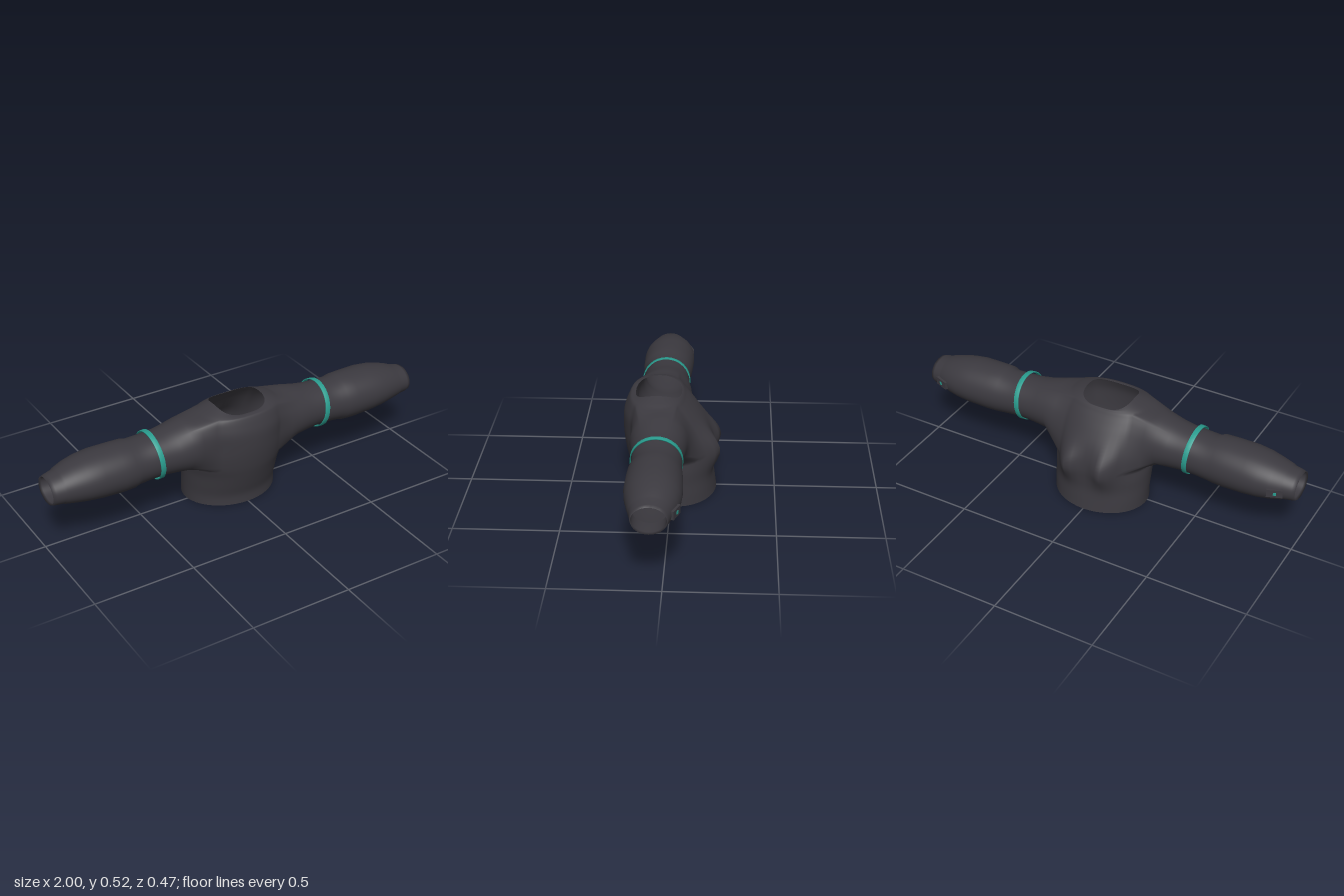
import * as THREE from 'three';

const dark = new THREE.MeshStandardMaterial({ color: 0x3b393f, side: THREE.DoubleSide });
dark.name = 'charcoal fabric';
const teal = new THREE.MeshStandardMaterial({ color: 0x2a9d8f, side: THREE.DoubleSide });
teal.name = 'teal trim';

// Torso sections: y, half width, front z, back z, z of the widest point, roundness
const TORSO = [
  [0.00, 0.240, 0.175, -0.215, -0.02, 2.0],
  [0.05, 0.241, 0.176, -0.208, -0.02, 2.0],
  [0.11, 0.243, 0.193, -0.200, -0.01, 2.0],
  [0.17, 0.246, 0.210, -0.200, 0.00, 2.0],
  [0.225, 0.250, 0.223, -0.200, 0.03, 2.0],
  [0.29, 0.255, 0.232, -0.190, 0.045, 2.0],
  [0.35, 0.255, 0.235, -0.165, 0.05, 2.0],
  [0.41, 0.250, 0.232, -0.125, 0.055, 2.1],
  [0.455, 0.240, 0.218, -0.088, 0.06, 2.2],
  [0.492, 0.215, 0.200, -0.055, 0.065, 2.4],
  [0.525, 0.125, 0.175, -0.045, 0.065, 3.0],
];
// Sleeve sections: x, bottom y, top y, back z, front z; the last ones fold inside
const SLEEVE = [
  [0.30, 0.232, 0.487, -0.082, 0.186],
  [0.36, 0.238, 0.472, -0.074, 0.175],
  [0.42, 0.243, 0.462, -0.067, 0.167],
  [0.50, 0.242, 0.457, -0.066, 0.165],
  [0.56, 0.236, 0.455, -0.068, 0.165],
  [0.59, 0.231, 0.464, -0.072, 0.176],
  [0.65, 0.229, 0.465, -0.076, 0.179],
  [0.75, 0.235, 0.464, -0.080, 0.180],
  [0.82, 0.242, 0.455, -0.076, 0.173],
  [0.88, 0.251, 0.441, -0.063, 0.160],
  [0.93, 0.261, 0.425, -0.045, 0.148],
  [0.94, 0.266, 0.418, -0.040, 0.144],
  [0.98, 0.270, 0.410, -0.030, 0.138],
  [0.998, 0.276, 0.404, -0.023, 0.133],
  [0.985, 0.281, 0.400, -0.020, 0.130],
  [0.90, 0.278, 0.405, -0.024, 0.134],
];
const N = 48, SUB = 4, HALF = 6;      // torso columns, rows per section, half armhole width
const ROW0 = 4 * SUB, ROW1 = 9 * SUB; // armhole rows

// Smooth interpolation between the torso sections
function torsoRow(t) {
  const i = Math.min(Math.floor(t), TORSO.length - 2), f = t - i;
  const key = k => TORSO[Math.max(0, Math.min(TORSO.length - 1, k))];
  return TORSO[0].map((_, k) => {
    const [a, b, c, d] = [key(i - 1)[k], key(i)[k], key(i + 1)[k], key(i + 2)[k]];
    return b + 0.5 * f * (c - a + f * (2 * a - 5 * b + 4 * c - d + f * (3 * (b - c) + d - a)));
  });
}

function torsoPoint(t, angle) {
  const [y, w, zf, zb, zc, p] = torsoRow(t);
  const round = v => Math.sign(v) * Math.abs(v) ** (2 / p);
  const c = round(Math.cos(angle)), s = round(Math.sin(angle));
  const x = w * c;
  let z = zc + s * (s > 0 ? zf - zc : zc - zb);
  // paired shoulder-blade bulges with a groove between them
  if (s < 0) {
    z -= 0.052 * Math.exp(-(((Math.abs(x) - 0.1) / 0.05) ** 2)) * Math.exp(-(((y - 0.24) / 0.09) ** 2));
  }
  // neckline dips at front and back
  const rim = Math.max(0, t - 9);
  return [x, y - 0.028 * rim * s * s, z];
}

// Torso and both sleeves as one continuous open garment
function garmentGeometry() {
  const pos = [], index = [];
  const rows = (TORSO.length - 1) * SUB;
  const id = (r, c) => r * N + ((c + N) % N);
  const quad = (a, b, c, d) => index.push(a, b, d, b, c, d);
  for (let r = 0; r <= rows; r++) {
    for (let c = 0; c < N; c++) pos.push(...torsoPoint(r / SUB, (c / N) * Math.PI * 2));
  }
  const inArmhole = (r, c) => r >= ROW0 && r < ROW1 &&
    [0, N / 2, N].some(m => c >= m - HALF && c < m + HALF);
  for (let r = 0; r < rows; r++) {
    for (let c = 0; c < N; c++) {
      if (!inArmhole(r, c)) quad(id(r, c), id(r + 1, c), id(r + 1, c + 1), id(r, c + 1));
    }
  }
  for (const side of [1, -1]) {
    // walk around the armhole edge
    const mid = side > 0 ? 0 : N / 2;
    let ring = [];
    for (let c = -HALF; c < HALF; c++) ring.push(id(ROW0, mid + c));
    for (let r = ROW0; r < ROW1; r++) ring.push(id(r, mid + HALF));
    for (let c = HALF; c > -HALF; c--) ring.push(id(ROW1, mid + c));
    for (let r = ROW1; r > ROW0; r--) ring.push(id(r, mid - HALF));
    const edge = ring.map(i => pos.slice(i * 3, i * 3 + 3));
    const angles = edge.map(([, y, z]) => Math.atan2(y - 0.355, z - 0.055));
    const section = ([x, y0, y1, z0, z1]) => angles.map(a => [
      side * x,
      (y0 + y1) / 2 + Math.sin(a) * (y1 - y0) / 2,
      (z0 + z1) / 2 + Math.cos(a) * (z1 - z0) / 2,
    ]);
    const sections = SLEEVE.map(section);
    // transition ring between armhole and sleeve
    sections.unshift(edge.map((e, i) => e.map((v, k) => v + (sections[0][i][k] - v) * 0.55)));
    for (const pts of sections) {
      const next = pts.map(p => pos.push(...p) / 3 - 1);
      ring.forEach((a, i) => {
        const j = (i + 1) % ring.length;
        quad(a, next[i], next[j], ring[j]);
      });
      ring = next;
    }
  }
  const geometry = new THREE.BufferGeometry();
  geometry.setAttribute('position', new THREE.Float32BufferAttribute(pos, 3));
  geometry.setIndex(index);
  geometry.computeVertexNormals();
  return geometry;
}

export function createModel() {
  const model = new THREE.Group();
  model.name = 'jacket';
  const add = (name, geometry, material, x, y, z) => {
    const mesh = new THREE.Mesh(geometry, material);
    mesh.name = name;
    mesh.position.set(x, y, z);
    model.add(mesh);
    return mesh;
  };
  add('garment', garmentGeometry(), dark, 0, 0, 0);

  // Loose arm bands
  const profile = [[0.117, -0.012], [0.122, -0.012], [0.122, 0.012], [0.117, 0.012], [0.117, -0.012]];
  const bandGeometry = new THREE.LatheGeometry(profile.map(p => new THREE.Vector2(...p)), 32);
  const tabGeometry = new THREE.BoxGeometry(0.075, 0.04, 0.014);
  const markGeometry = new THREE.BoxGeometry(0.014, 0.015, 0.004);
  for (const side of [1, -1]) {
    const label = side > 0 ? 'left' : 'right';
    const band = add(label + 'ArmBand', bandGeometry, teal, side * 0.46, 0.353, 0.052);
    band.rotation.z = side * (-Math.PI / 2 - 0.09);

    // Cuff tab with a small coloured mark
    const tab = add(label + 'CuffTab', tabGeometry, dark, side * 0.912, 0.34, -0.055);
    tab.rotation.y = -side * 0.36;
    const mark = add(label + 'CuffMark', markGeometry, teal, side * 0.915, 0.34, -0.062);
    mark.rotation.y = -side * 0.36;
  }
  return model;
}
